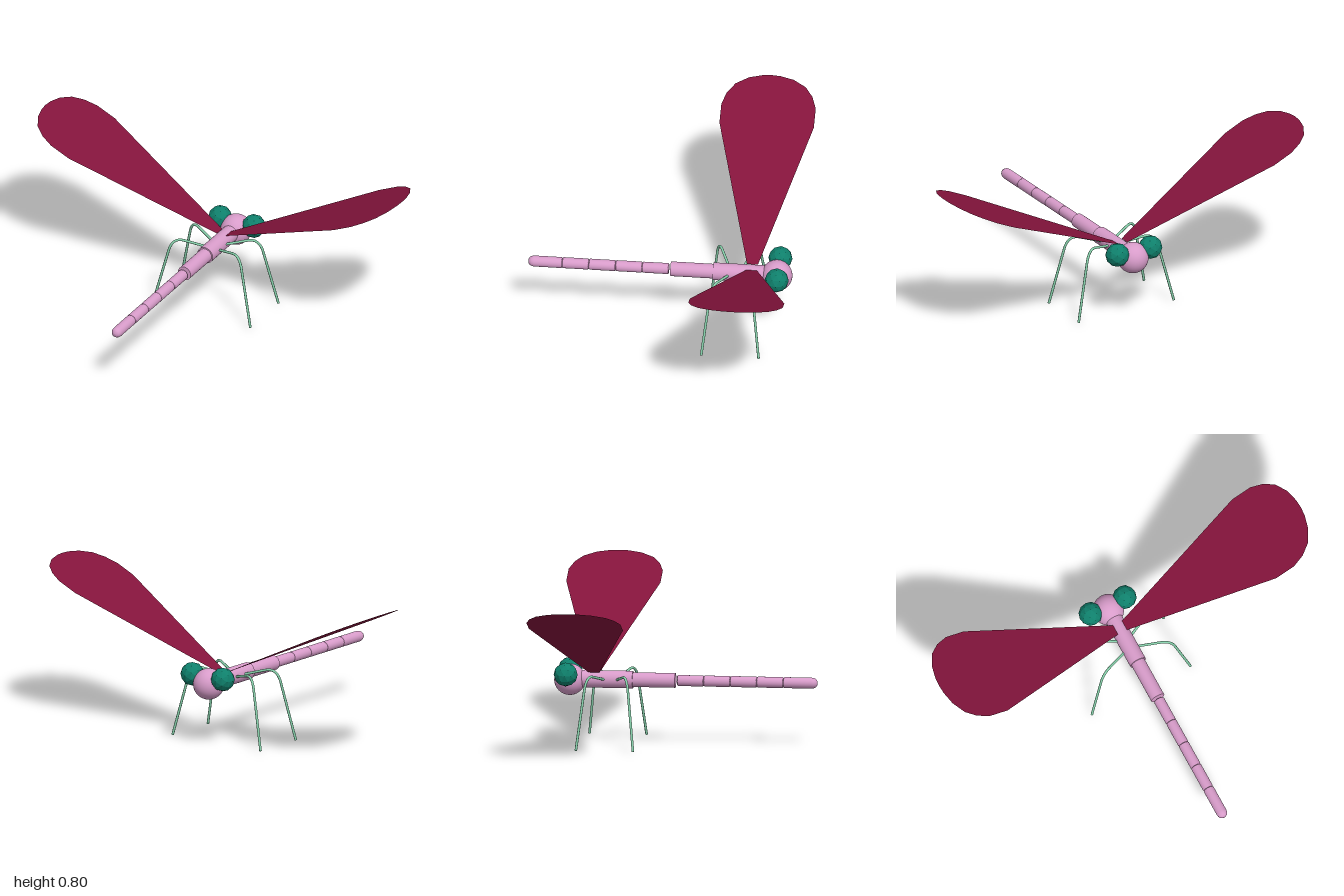
import * as THREE from 'three';

const AXIS_Y = 0.316; // height of the body axis

const mat = (color, extra = {}) => {
  const m = new THREE.MeshStandardMaterial({ color, ...extra });
  return m;
};

export function createModel() {
  const model = new THREE.Group();
  const pink = mat(0xd89cca);
  const teal = mat(0x0f806c, { flatShading: true });
  const green = mat(0x86cfaa);
  const crimson = mat(0x84143c, { side: THREE.DoubleSide });

  const add = (name, geometry, material, x = 0, y = 0, z = 0) => {
    const mesh = new THREE.Mesh(geometry, material);
    mesh.name = name;
    mesh.position.set(x, y, z);
    model.add(mesh);
    return mesh;
  };

  // Cylinder lying along z between two stations
  const barrel = (name, r, z0, z1) => {
    const g = new THREE.CylinderGeometry(r, r, z1 - z0, 24).rotateX(Math.PI / 2);
    add(name, g, pink, 0, AXIS_Y, (z0 + z1) / 2);
  };

  // Head, thorax and front of the abdomen
  add('head', new THREE.SphereGeometry(0.077, 32, 20), pink, 0, 0.312, -0.557);
  barrel('thorax', 0.043, -0.53, -0.245);
  barrel('abdomen', 0.036, -0.26, -0.036);

  // Tail: equal segments with softened ends, the last one rounded
  const r = 0.027, len = 0.131;
  for (let i = 0; i < 5; i++) {
    const z0 = -0.027 + i * len;
    const last = i === 4;
    const z1 = last ? 0.665 : z0 + len;
    const b = 0.005;
    const end = last
      ? [[r, z1 - 0.03], [0.025, z1 - 0.018], [0.02, z1 - 0.008], [0.011, z1 - 0.002], [0, z1]]
      : [[r, z1 - b], [r - 0.004, z1], [0, z1]];
    const profile = [[0, z0], [r - 0.004, z0], [r, z0 + b], ...end]
      .map(([x, y]) => new THREE.Vector2(x, y));
    add('tailSegment' + (i + 1), new THREE.LatheGeometry(profile, 24).rotateX(Math.PI / 2),
      pink, 0, AXIS_Y, 0);
  }

  // Half outline of a wing: distance out from the body, half width
  const outline = [[0.025, 0.027], [0.742, 0.232], [0.84, 0.232], [0.9, 0.21],
    [0.948, 0.172], [0.982, 0.11], [0.997, 0.045], [1, 0]];
  const slope = 0.455;

  for (const [side, s] of [['left', 1], ['right', -1]]) {
    add(side + 'Eye', new THREE.IcosahedronGeometry(0.059, 1), teal, s * 0.094, 0.35, -0.566);

    // Flat wing, sheared upward away from the body
    const shape = new THREE.Shape([...outline, ...outline.slice(0, -1).reverse().map(([x, w]) => [x, -w])]
      .map(([x, w]) => new THREE.Vector2(s * x, w)));
    const wing = new THREE.ShapeGeometry(shape).rotateX(-Math.PI / 2);
    const p = wing.attributes.position;
    for (let i = 0; i < p.count; i++) p.setY(i, Math.abs(p.getX(i)) * slope);
    wing.computeVertexNormals();
    add(side + 'Wing', wing, crimson, 0, 0.341, -0.435);

    // Bent legs, splayed forward and back
    for (const [place, d] of [['Rear', 1], ['Front', -1]]) {
      const v = (x, y, z) => new THREE.Vector3(s * x, y, -0.353 + d * z);
      const path = new THREE.CurvePath();
      const hip = v(0.03, 0.318, 0.03), a = v(0.135, 0.347, 0.075);
      const knee = v(0.185, 0.362, 0.097), b = v(0.203, 0.295, 0.107);
      path.add(new THREE.LineCurve3(hip, a));
      path.add(new THREE.QuadraticBezierCurve3(a, knee, b));
      path.add(new THREE.LineCurve3(b, v(0.272, 0.002, 0.141)));
      add(side + place + 'Leg', new THREE.TubeGeometry(path, 40, 0.0065, 8), green);
      // Foot cap
      add(side + place + 'Foot', new THREE.SphereGeometry(0.0065, 8, 6), green,
        s * 0.271, 0.0065, -0.353 + d * 0.141);
    }
  }
  return model;
}
